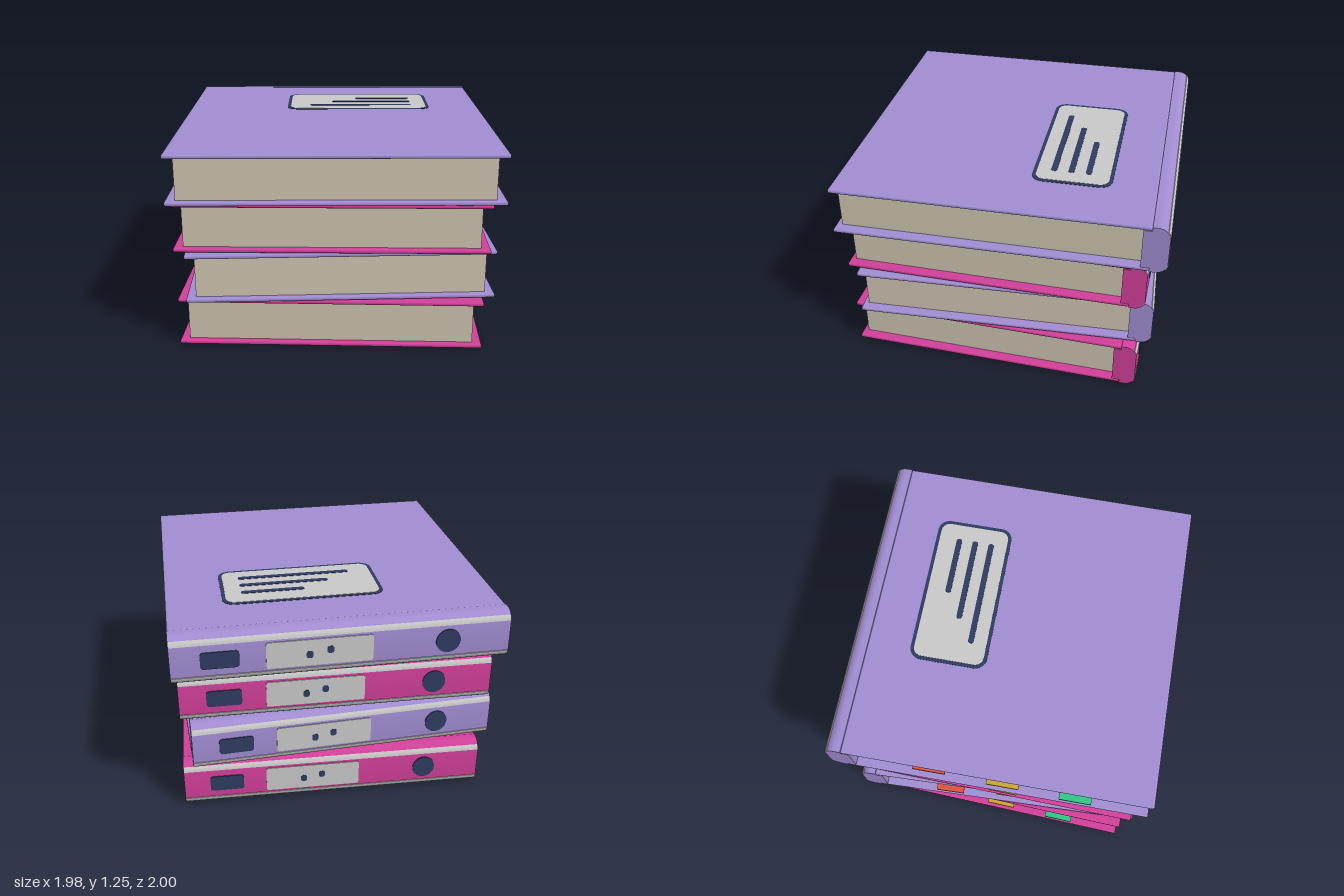
import * as THREE from 'three';
import { toCreasedNormals } from 'three/addons/utils/BufferGeometryUtils.js';
import { RoundedBoxGeometry } from 'three/addons/geometries/RoundedBoxGeometry.js';

const material = (name, color) => {
  const m = new THREE.MeshStandardMaterial({ color });
  m.name = name;
  return m;
};

const W = 1.98, H = 0.308, COVER = 0.026, BACK = 0.993, R = 0.07;

function add(parent, name, geometry, mat, x = 0, y = 0, z = 0) {
  const mesh = new THREE.Mesh(geometry, mat);
  mesh.name = name;
  mesh.position.set(x, y, z);
  parent.add(mesh);
  return mesh;
}

// Thin plate with rounded corners, in the xy plane, rising towards +z
function plate(w, h, r, depth) {
  const a = w / 2, b = h / 2, s = new THREE.Shape();
  s.moveTo(-a + r, -b);
  s.lineTo(a - r, -b);
  s.absarc(a - r, -b + r, r, -Math.PI / 2, 0);
  s.absarc(a - r, b - r, r, 0, Math.PI / 2);
  s.absarc(-a + r, b - r, r, Math.PI / 2, Math.PI);
  s.absarc(-a + r, -b + r, r, Math.PI, Math.PI * 1.5);
  return new THREE.ExtrudeGeometry(s, { depth, bevelEnabled: false, curveSegments: 8 });
}

// Profile in (backward, up) swept across the width of the book
function sweep(shape, width) {
  const g = new THREE.ExtrudeGeometry(shape, { depth: width, bevelEnabled: false, curveSegments: 10 });
  g.rotateY(Math.PI / 2);
  g.translate(-width / 2, 0, 0);
  return toCreasedNormals(g, 0.6);
}

// Spine with rounded back edges, stepped to receive the covers
function spineShape() {
  const h = H / 2, s = new THREE.Shape();
  s.moveTo(0.84, -h + COVER);
  s.lineTo(0.89, -h + COVER);
  s.lineTo(0.89, -h);
  s.lineTo(BACK - R, -h);
  s.absarc(BACK - R, -h + R, R, -Math.PI / 2, 0);
  s.absarc(BACK - R, h - R, R, 0, Math.PI / 2);
  s.lineTo(0.89, h);
  s.lineTo(0.89, h - COVER);
  s.lineTo(0.84, h - COVER);
  return s;
}

// Strip hugging one rounded edge of the spine
function stripeShape(side) {
  const s = new THREE.Shape(), cy = side * (H / 2 - R);
  const a = side * 0.2, b = side * 0.68;
  s.absarc(BACK - R, cy, R + 0.004, a, b, side < 0);
  s.absarc(BACK - R, cy, R - 0.004, b, a, side > 0);
  return s;
}

export function createModel() {
  const model = new THREE.Group();
  model.name = 'bookStack';
  const purple = material('purple cover', 0xa18dd2);
  const pink = material('magenta cover', 0xd2409a);
  const paper = material('paper', 0xcec5b2);
  const silver = material('silver', 0xc9c9c9);
  const navy = material('navy', 0x2f3b62);
  const tabs = {
    red: material('red tab', 0xdc5640),
    yellow: material('yellow tab', 0xcba634),
    green: material('green tab', 0x30c885),
  };
  const tabZ = { red: -0.36, yellow: 0.09, green: 0.54 };

  function book(cover, tabOrder) {
    const g = new THREE.Group();
    // Covers, page block and spine
    for (const side of [-1, 1]) {
      add(g, side > 0 ? 'topCover' : 'bottomCover',
        new RoundedBoxGeometry(W, COVER, 1.888, 3, 0.011), cover,
        0, side * (H - COVER) / 2, 0.054);
      add(g, 'spineStripe', sweep(stripeShape(side), W - 0.004), silver);
    }
    add(g, 'pages', new THREE.BoxGeometry(1.86, H - 2 * COVER + 0.004, 1.81), paper, 0, 0, 0.055);
    add(g, 'spine', sweep(spineShape(), W), cover);

    // Plates on the back of the spine
    const back = (name, geo, mat, x, y = 0, z = -BACK) => {
      add(g, name, geo, mat, x, y, z).rotation.y = Math.PI;
    };
    back('spineLabel', plate(0.62, 0.166, 0.015, 0.005), silver, 0.14);
    back('spinePatch', plate(0.22, 0.105, 0.02, 0.006), navy, 0.71);
    back('spineDot', new THREE.ExtrudeGeometry(
      new THREE.Shape().absarc(0, 0, 0.074, 0, Math.PI * 2),
      { depth: 0.006, bevelEnabled: false, curveSegments: 16 }), navy, -0.615);
    for (const [x, y] of [[0.2, -0.012], [0.08, 0.01]]) {
      back('labelMark', plate(0.04, 0.045, 0.015, 0.003), navy, x, y, -BACK - 0.004);
    }

    // Index tabs, listed from top to bottom
    tabOrder.forEach((key, i) => {
      add(g, key + 'Tab', new THREE.BoxGeometry(0.1, 0.016, 0.2), tabs[key],
        -0.94, 0.062 - i * 0.067, tabZ[key]);
    });
    return g;
  }

  // Stack from bottom to top: cover, tabs, turn, width scale, depth scale, x, z
  const stack = [
    [pink, ['red', 'yellow', 'green'], -0.04, 0.938, 0.922, 0, 0.01],
    [purple, ['yellow', 'green', 'red'], 0.036, 0.943, 0.926, 0, 0.01],
    [pink, ['green', 'red', 'yellow'], -0.023, 0.952, 0.934, -0.005, 0.018],
    [purple, ['red', 'yellow', 'green'], 0, 1, 1, 0, 0],
  ];
  let top;
  stack.forEach(([cover, order, turn, sx, sz, x, z], i) => {
    top = book(cover, order);
    top.name = 'book' + (i + 1);
    top.position.set(x, H / 2 + i * 0.3125, z);
    top.rotation.y = turn;
    top.scale.set(sx, 1, sz);
    model.add(top);
  });

  // Title label on the uppermost cover
  const label = new THREE.Group();
  label.name = 'titleLabel';
  label.position.set(0.163, H / 2 - 0.001, -0.38);
  label.rotation.x = -Math.PI / 2;
  top.add(label);
  add(label, 'labelBorder', plate(0.98, 0.485, 0.075, 0.003), navy);
  add(label, 'labelFace', plate(0.936, 0.441, 0.055, 0.005), silver);
  [0.385, 0.55, 0.7].forEach((w, i) => {
    add(label, 'labelLine', plate(w, 0.036, 0.015, 0.007), navy,
      0.368 - w / 2, 0.09 - i * 0.105, 0);
  });
  return model;
}
